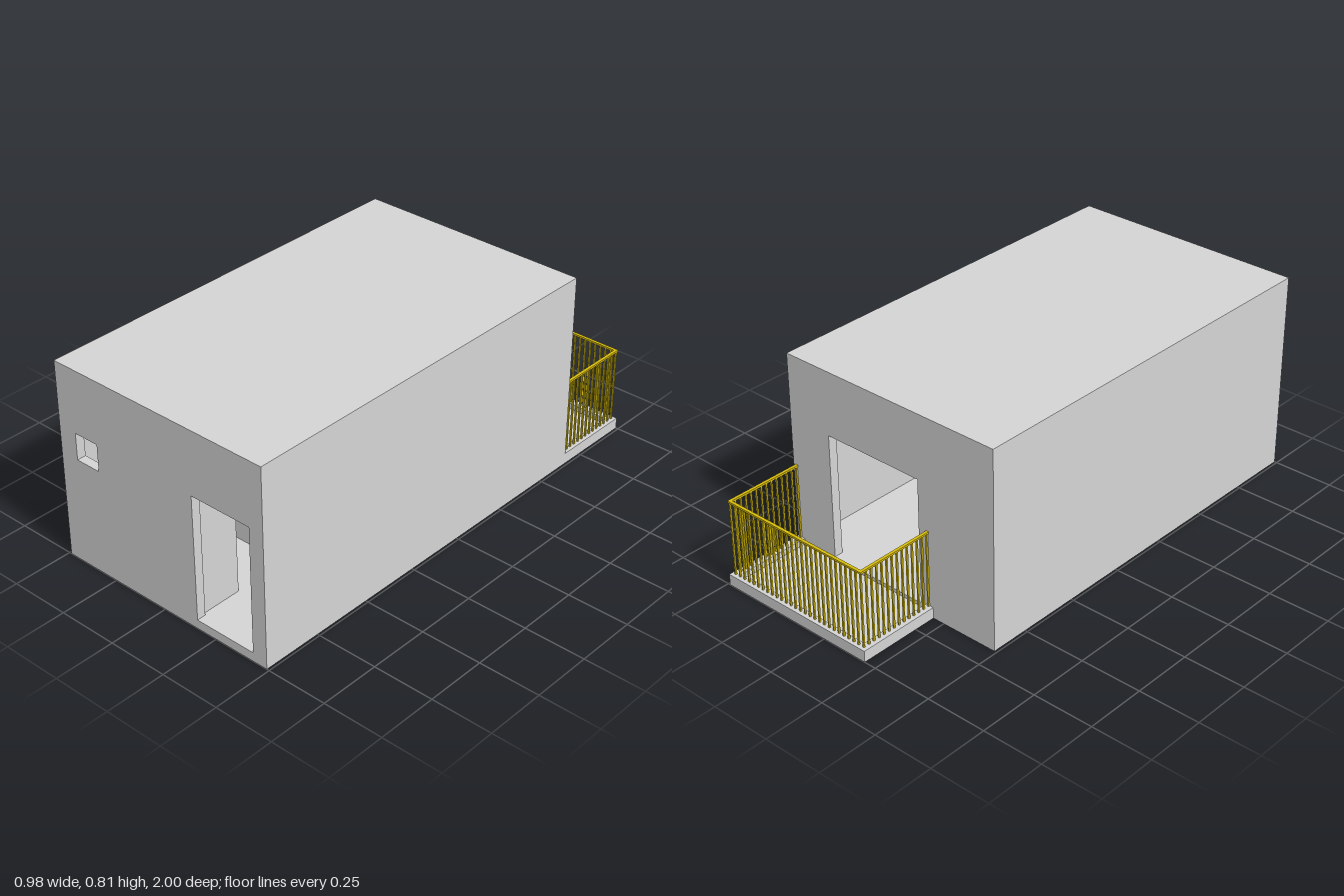
import * as THREE from 'three';

const concrete = new THREE.MeshStandardMaterial({ color: 0xd5d5d5 });
concrete.name = 'concrete grey';
const brass = new THREE.MeshStandardMaterial({ color: 0xd8bc0c });
brass.name = 'railing yellow';

const W = 0.49, H = 0.815, T = 0.037;        // half width, height, wall thickness
const FRONT = 1, BACK = -0.66;

// Box given by its limits on each axis
function block(name, x, y, z, material = concrete) {
  const geo = new THREE.BoxGeometry(x[1] - x[0], y[1] - y[0], z[1] - z[0]);
  const mesh = new THREE.Mesh(geo, material);
  mesh.position.set((x[0] + x[1]) / 2, (y[0] + y[1]) / 2, (z[0] + z[1]) / 2);
  mesh.name = name;
  return mesh;
}

function trace(path, [x0, x1, y0, y1]) {
  path.moveTo(x0, y0);
  path.lineTo(x1, y0);
  path.lineTo(x1, y1);
  path.lineTo(x0, y1);
  path.closePath();
  return path;
}

// Rectangular plate with rectangular openings, extruded from z0 to z1
function plate(name, outline, openings, z0, z1) {
  const shape = trace(new THREE.Shape(), outline);
  for (const o of openings) shape.holes.push(trace(new THREE.Path(), o));
  const geo = new THREE.ExtrudeGeometry(shape, { depth: z1 - z0, bevelEnabled: false });
  geo.translate(0, 0, z0);
  const mesh = new THREE.Mesh(geo, concrete);
  mesh.name = name;
  return mesh;
}

function createRoom() {
  const room = new THREE.Group();
  room.name = 'room';
  const outline = [-W, W, 0, H];
  const door = [0.162, 0.427, T, 0.553];
  const window = [-0.409, -0.3, 0.443, 0.553];
  const balconyDoor = [-0.14, 0.295, T, 0.553];
  room.add(
    plate('frontWall', outline, [door, window], FRONT - T, FRONT),
    plate('backWall', outline, [balconyDoor], BACK, BACK + T),
    // Floor, side walls and roof in one sleeve
    plate('floorSidesAndRoof', outline, [[-W + T, W - T, T, H - T]], BACK + T, FRONT - T)
  );
  // Small room beside the entrance, with a doorway onto the hall
  const x = [0.115, 0.152], y = [T, H - T];
  room.add(
    block('partitionRear', [-W + T, x[1]], y, [0.53, 0.566]),
    block('partitionSide', x, y, [0.79, FRONT - T]),
    block('partitionLintel', x, [0.553, y[1]], [0.566, 0.79])
  );
  return room;
}

function createBalcony() {
  const balcony = new THREE.Group();
  balcony.name = 'balcony';
  const x0 = -0.2, x1 = W, z0 = -1, curb = 0.034, top = 0.046, floor = 0.022;
  balcony.add(
    block('balconySlab', [x0, x1], [0, floor], [z0, BACK]),
    block('curbBack', [x0, x1], [floor, top], [z0, z0 + curb]),
    block('curbRight', [x0, x0 + curb], [floor, top], [z0 + curb, BACK]),
    block('curbLeft', [x1 - curb, x1], [floor, top], [z0 + curb, BACK])
  );

  // Handrail on three sides
  const railing = new THREE.Group();
  railing.name = 'railing';
  const left = 0.473, right = -0.181, rear = -0.983, r = 0.0062;
  const railY = [0.352, 0.36];
  railing.add(
    block('handrailBack', [right - r, left + r], railY, [rear - r, rear + r], brass),
    block('handrailRight', [right - r, right + r], railY, [rear + r, BACK], brass),
    block('handrailLeft', [left - r, left + r], railY, [rear + r, BACK], brass)
  );

  // Evenly spaced square bars
  const barGeo = new THREE.BoxGeometry(0.0066, railY[0] - top, 0.0066);
  const addBar = (x, z) => {
    const bar = new THREE.Mesh(barGeo, brass);
    bar.name = 'railingBar';
    bar.position.set(x, (railY[0] + top) / 2, z);
    railing.add(bar);
  };
  const across = 27, along = 13;
  for (let i = 0; i <= across; i++) addBar(right + (left - right) * i / across, rear);
  for (let i = 1; i <= along; i++) {
    const z = rear + (BACK - 0.004 - rear) * i / along;
    addBar(left, z);
    addBar(right, z);
  }
  balcony.add(railing);
  return balcony;
}

export function createModel() {
  const model = new THREE.Group();
  model.name = 'roomWithBalcony';
  model.add(createRoom(), createBalcony());
  return model;
}
